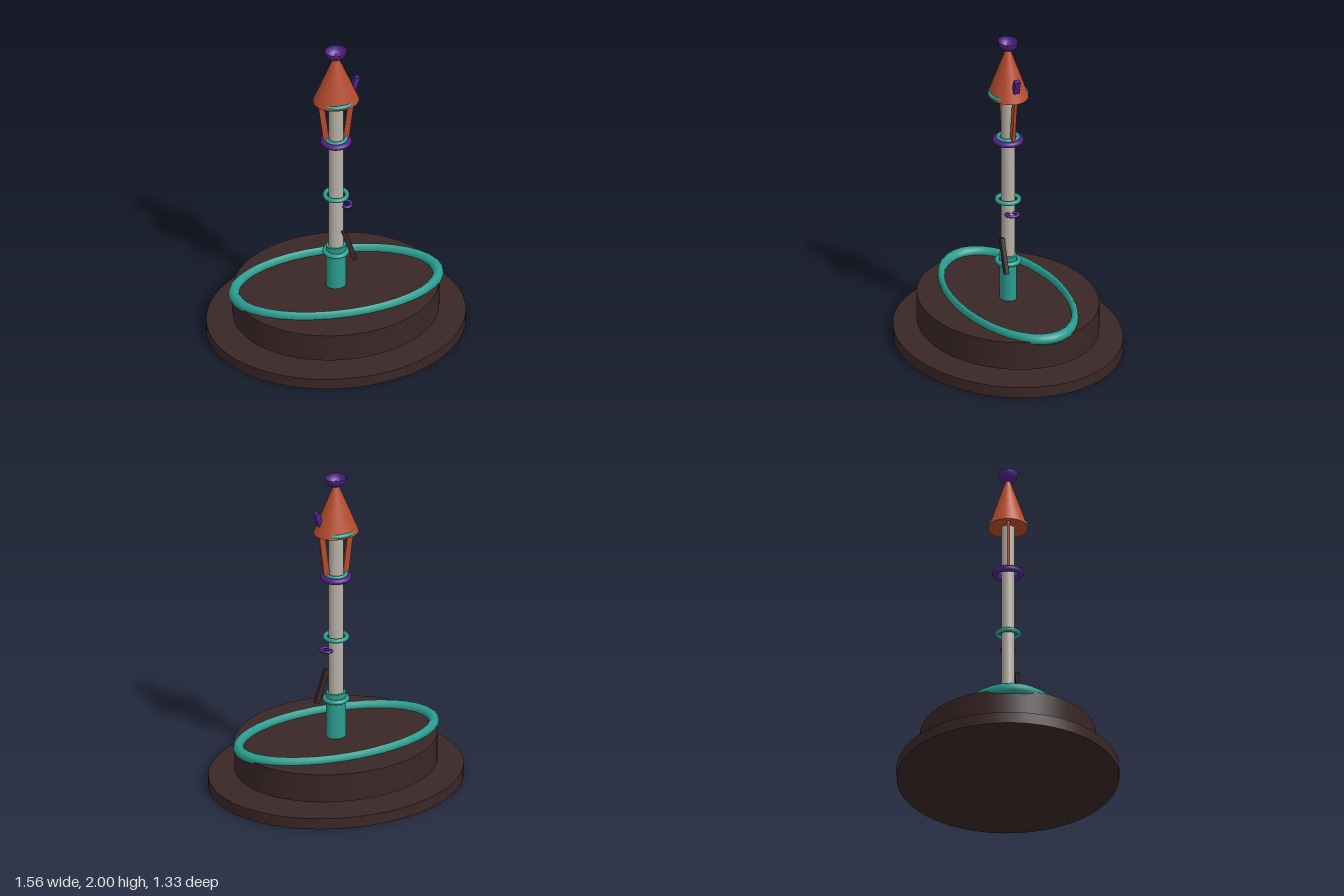
import * as THREE from 'three';

const mat = (name, color, side = THREE.FrontSide) => {
  const m = new THREE.MeshStandardMaterial({ color, side });
  m.name = name;
  return m;
};

export function createModel() {
  const model = new THREE.Group();
  model.name = 'lanternPost';
  const brown = mat('dark brown', 0x3a2626);
  const teal = mat('teal', 0x2a9d8f);
  const stone = mat('warm grey', 0xb8b2a7);
  const rust = mat('rust orange', 0xb54b2d);
  const purple = mat('purple', 0x4f2188);
  const purpleShell = mat('purple shell', 0x4f2188, THREE.DoubleSide);

  const add = (name, geometry, material, x = 0, y = 0, z = 0) => {
    const mesh = new THREE.Mesh(geometry, material);
    mesh.name = name;
    mesh.position.set(x, y, z);
    model.add(mesh);
    return mesh;
  };
  // Upright elliptical drum between two heights
  const drum = (name, rx, rz, y0, y1, material, sides = 32) =>
    add(name, new THREE.CylinderGeometry(1, 1, y1 - y0, sides).scale(rx, 1, rz), material, 0, (y0 + y1) / 2);
  // Flat-lying ring
  const ring = (name, R, r, y, material, sz = 1, x = 0) =>
    add(name, new THREE.TorusGeometry(R, r, 10, 36).rotateX(Math.PI / 2).scale(1, 1, sz), material, x, y);

  // Stepped base
  drum('basePlate', 0.78, 0.663, 0, 0.07, brown, 64);
  drum('baseDrum', 0.62, 0.525, 0.11, 0.29, brown, 64);
  drum('baseStud', 0.06, 0.05, 0.1, 0.12, purple);
  ring('baseRing', 0.622, 0.034, 0.299, teal, 0.527);

  // Post and its socket
  drum('socket', 0.06, 0.05, 0.28, 0.58, teal);
  drum('post', 0.045, 0.04, 0.5, 1.66, stone);
  ring('socketRing', 0.066, 0.015, 0.537, teal);
  ring('middleRing', 0.066, 0.014, 0.945, teal);
  ring('lanternRing', 0.077, 0.018, 1.342, purple);
  ring('lanternInnerRing', 0.06, 0.012, 1.36, teal);

  // Lever and small hoop on the model's left
  add('lever', new THREE.BoxGeometry(0.032, 0.22, 0.025), brown, 0.067, 0.605, 0.058).rotation.z = 0.31;
  ring('hoop', 0.029, 0.011, 0.868, purple, 1.22, 0.063).scale.y = 0.75;

  // Lantern struts, spreading upward
  for (const s of [-1, 1]) {
    const strut = add(s > 0 ? 'leftStrut' : 'rightStrut',
      new THREE.BoxGeometry(0.036, 0.3, 0.018), rust, s * 0.078, 1.5, 0);
    strut.rotation.z = -s * 0.12;
  }

  // Roof, eave ring, peg and open cup finial
  add('roof', new THREE.ConeGeometry(1, 0.345, 32).scale(0.14, 1, 0.12), rust, 0, 1.8125);
  ring('eaveRing', 0.107, 0.015, 1.656, teal);
  add('roofPeg', new THREE.BoxGeometry(0.03, 0.088, 0.036), purple, 0.116, 1.745, 0).rotation.z = -0.3;
  const cup = new THREE.SphereGeometry(1, 24, 10, 0, Math.PI * 2, Math.PI / 2, Math.PI / 2);
  add('finialCup', cup.scale(0.068, 0.062, 0.058), purpleShell, 0, 2, 0);

  return model;
}
